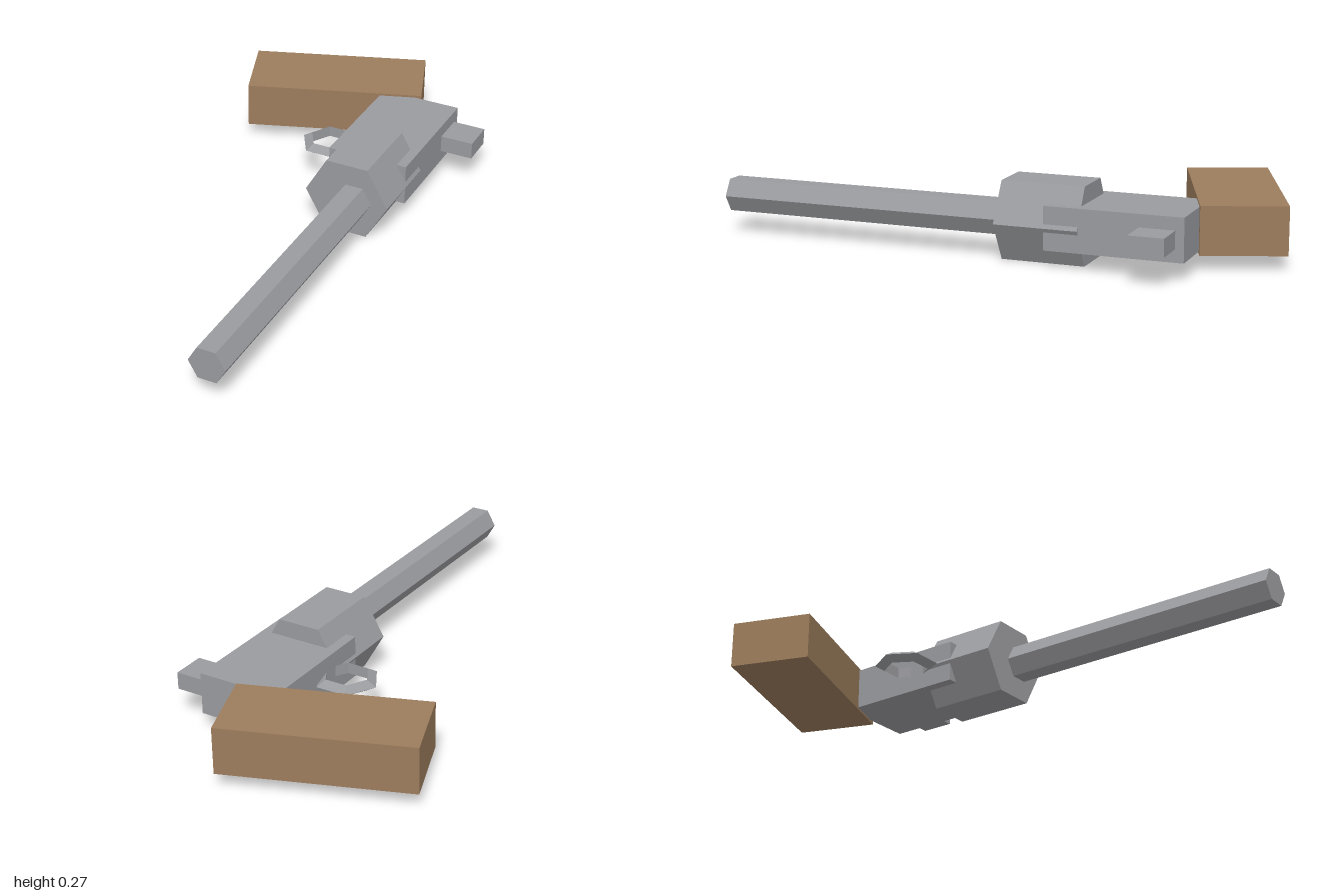
import * as THREE from 'three';

const metal = new THREE.MeshStandardMaterial({ color: 0x9a9b9f, flatShading: true });
metal.name = 'metal grey';
const wood = new THREE.MeshStandardMaterial({ color: 0x9c7c5c, flatShading: true });
wood.name = 'wood brown';

const MID = 0.136; // height of the lying model's centre plane

export function createModel() {
  const group = new THREE.Group();

  const add = (name, geometry, material, x, y, z) => {
    const mesh = new THREE.Mesh(geometry, material);
    mesh.name = name;
    mesh.position.set(x, y, z);
    group.add(mesh);
    return mesh;
  };

  // Hexagonal prism along z, with flat top and bottom and corners at the sides
  const hexPrism = (radius, z0, z1) =>
    new THREE.CylinderGeometry(radius, radius, z1 - z0, 6)
      .rotateY(Math.PI / 6)
      .rotateX(Math.PI / 2)
      .translate(0, 0, (z0 + z1) / 2);

  // A corner must point along x: turn the prism about its own axis
  const sideHex = (radius, z0, z1) => hexPrism(radius, z0, z1).rotateZ(0);

  add('barrel', sideHex(0.066, -0.1, 1), metal, 0.255, MID + 0.001, 0);
  add('cylinder', sideHex(0.157, -0.353, -0.057), metal, 0.225, MID, 0);

  // Frame and hammer
  add('frame', new THREE.BoxGeometry(0.3, 0.151, 0.482), metal, 0.224, MID, -0.474);
  add('hammer', new THREE.BoxGeometry(0.14, 0.062, 0.122), metal, 0.425, MID, -0.624);

  // Six-sided ring with a triangular section
  add('triggerGuard', new THREE.TorusGeometry(0.0915, 0.023, 3, 6).rotateX(Math.PI / 2),
    metal, 0.01, MID + 0.001, -0.388);

  // Slanted wooden grip
  const grip = add('grip', new THREE.BoxGeometry(0.659, 0.167, 0.292), wood, -0.1375, MID, -0.748);
  grip.rotation.y = THREE.MathUtils.degToRad(20);

  return group;
}
